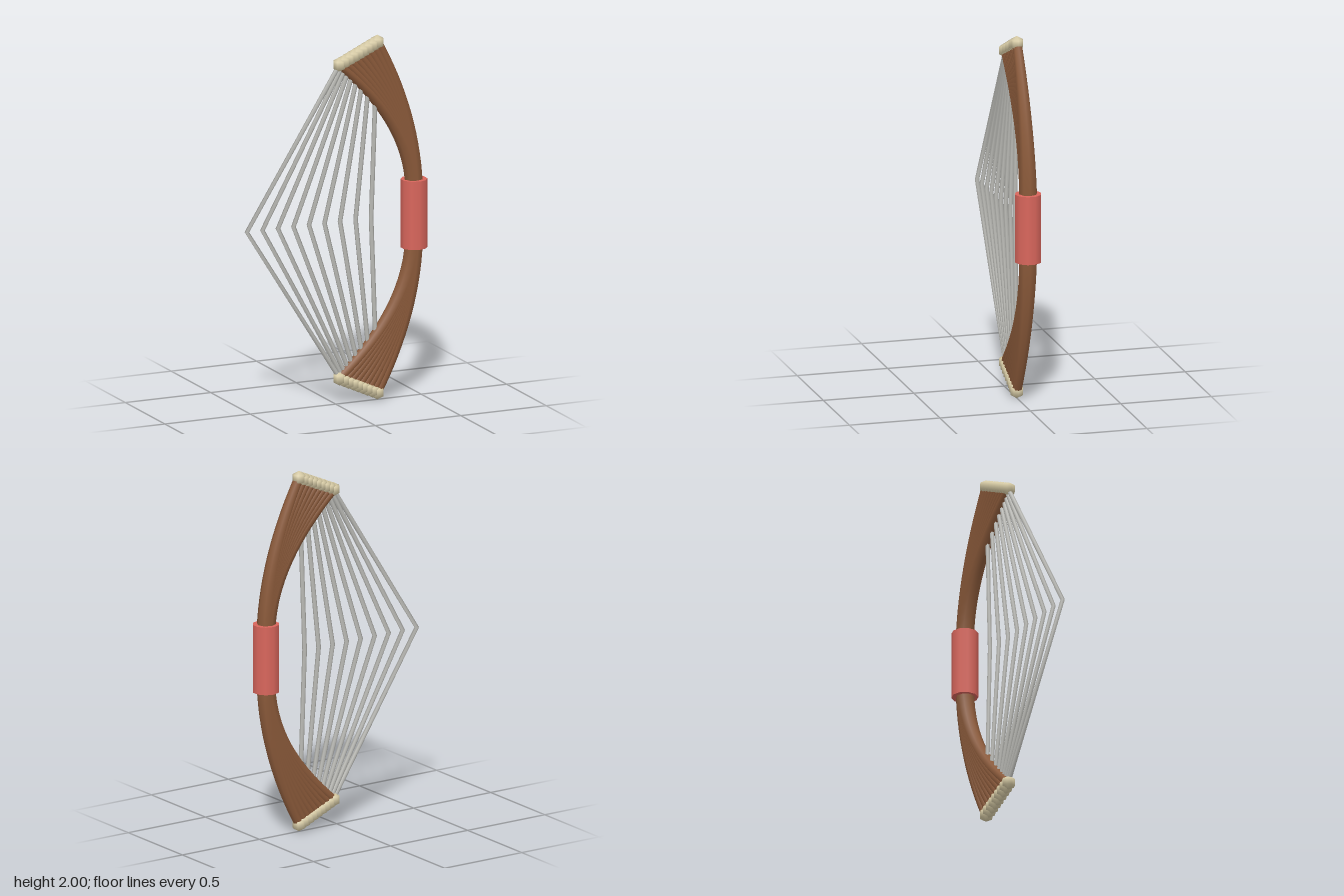
import * as THREE from 'three';

const wood = new THREE.MeshStandardMaterial({ name: 'brown wood', color: 0x8b5a3a });
const wrap = new THREE.MeshStandardMaterial({ name: 'red wrap', color: 0xd9665c });
const bone = new THREE.MeshStandardMaterial({ name: 'pale bone', color: 0xd8cca6 });
const cord = new THREE.MeshStandardMaterial({ name: 'grey cord', color: 0xbdbdb8 });

const COUNT = 9;
const MID = 1;
const GRIP_X = 0.458;

// Tube whose radius runs evenly from r0 to r1 along the curve
function taperedTube(curve, segments, sides, r0, r1) {
  const geo = new THREE.TubeGeometry(curve, segments, r0, sides, false);
  const pos = geo.attributes.position;
  const v = new THREE.Vector3();
  for (let i = 0; i <= segments; i++) {
    const centre = curve.getPointAt(i / segments);
    const scale = THREE.MathUtils.lerp(1, r1 / r0, i / segments);
    for (let j = 0; j <= sides; j++) {
      const k = i * (sides + 1) + j;
      v.fromBufferAttribute(pos, k).sub(centre).multiplyScalar(scale).add(centre);
      pos.setXYZ(k, v.x, v.y, v.z);
    }
  }
  return geo;
}

export function createModel() {
  const bow = new THREE.Group();
  bow.name = 'fanBow';
  const add = (name, geo, mat) => {
    const mesh = new THREE.Mesh(geo, mat);
    mesh.name = name;
    bow.add(mesh);
    return mesh;
  };

  // Handle wrap
  add('grip', new THREE.CylinderGeometry(0.072, 0.072, 0.375, 10), wrap).position.set(GRIP_X, MID, 0);

  const beadGeo = new THREE.SphereGeometry(0.04, 8, 3);
  for (let i = 0; i < COUNT; i++) {
    const t = i / (COUNT - 1);
    const tipX = THREE.MathUtils.lerp(0.022, 0.243, t);
    const tipY = THREE.MathUtils.lerp(0.86, 0.96, t);
    const tip = (s) => new THREE.Vector3(tipX, MID + s * tipY, 0);

    // Fanned limb rods and their tip beads, above and below the grip
    for (const s of [1, -1]) {
      const side = s > 0 ? 'upper' : 'lower';
      const curve = new THREE.QuadraticBezierCurve3(
        new THREE.Vector3(GRIP_X, MID + s * 0.1, 0),
        new THREE.Vector3(GRIP_X + 0.01 * t, MID + s * (0.5 + 0.02 * t), 0),
        tip(s)
      );
      add(side + 'Limb' + i, taperedTube(curve, 16, 8, 0.051, 0.026), wood);
      add(side + 'TipBead' + i, beadGeo, bone).position.copy(tip(s));
    }

    // Drawn string, bent at the middle
    const nock = new THREE.Vector3(THREE.MathUtils.lerp(-0.52, 0.207, t), MID, 0);
    const path = new THREE.CurvePath();
    path.add(new THREE.LineCurve3(tip(-1), nock));
    path.add(new THREE.LineCurve3(nock, tip(1)));
    add('string' + i, new THREE.TubeGeometry(path, 2, 0.0125, 6, false), cord);
  }
  return bow;
}
